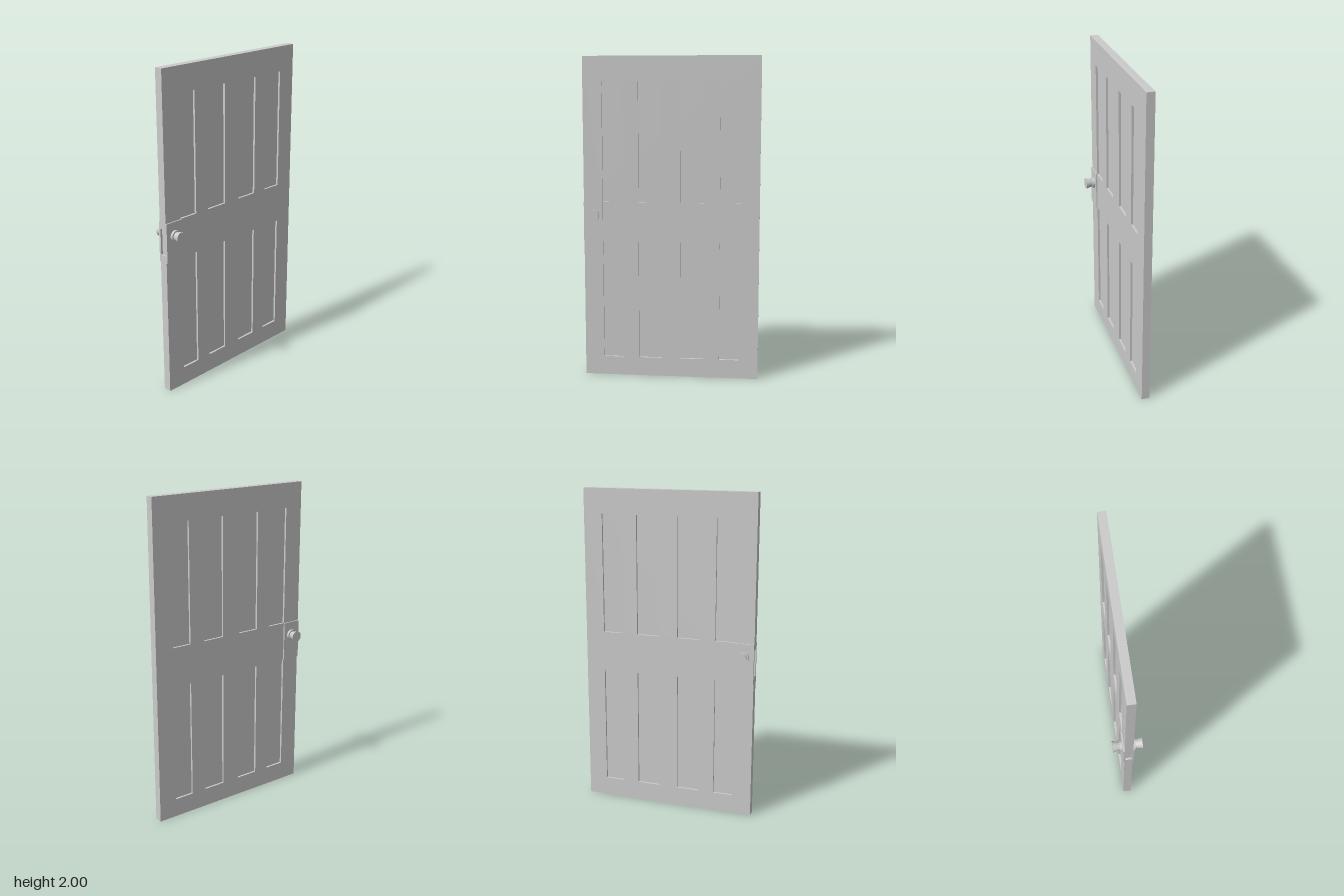
import * as THREE from 'three';

const HALF_T = 0.025, HALF_W = 0.545, HEIGHT = 2;
const RECESS = 0.013;
const LOCK = { back: 0.426, low: 0.86, high: 1.107, halfT: 0.033 };
const material = new THREE.MeshStandardMaterial({ color: 0xcccccc });

function addMesh(parent, name, geometry) {
  const mesh = new THREE.Mesh(geometry, material);
  mesh.name = name;
  parent.add(mesh);
  return mesh;
}

function rectPath(Type, x0, x1, y0, y1) {
  return new Type([[x0, y0], [x1, y0], [x1, y1], [x0, y1]].map(p => new THREE.Vector2(...p)));
}

// Door outline (shape x = -z) with a notch where the lock block sits
function doorOutline() {
  return new THREE.Shape([
    [-HALF_W, 0], [HALF_W, 0], [HALF_W, HEIGHT], [-HALF_W, HEIGHT],
    [-HALF_W, LOCK.high], [-LOCK.back, LOCK.high], [-LOCK.back, LOCK.low], [-HALF_W, LOCK.low],
  ].map(p => new THREE.Vector2(...p)));
}

// Extrudes a door layer across the thickness, from x0 to x1
function layer(shape, x0, x1) {
  return new THREE.ExtrudeGeometry(shape, { depth: x1 - x0, bevelEnabled: false })
    .translate(0, 0, x0).rotateY(Math.PI / 2);
}

export function createModel() {
  const door = new THREE.Group();
  door.name = 'door';

  // Core and two framed faces; the holes leave recessed panels
  const inner = HALF_T - RECESS;
  addMesh(door, 'core', layer(doorOutline(), -inner, inner));
  const frame = doorOutline();
  for (const [a, b] of [[-0.427, -0.302], [-0.203, -0.06], [0.06, 0.203], [0.302, 0.427]])
    for (const [low, high] of [[0.117, 0.86], [1.107, 1.846]])
      frame.holes.push(rectPath(THREE.Path, a, b, low + 0.0005, high - 0.0005));
  addMesh(door, 'leftFrame', layer(frame, inner, HALF_T));
  addMesh(door, 'rightFrame', layer(frame, -HALF_T, -inner));

  // Lock block wrapping the door edge, with a latch slot in its front
  const lock = new THREE.Group();
  lock.name = 'lock';
  door.add(lock);
  const slotDepth = 0.012;
  const bodyLength = HALF_W - slotDepth - LOCK.back;
  const lockHeight = LOCK.high - LOCK.low;
  addMesh(lock, 'lockBody', new THREE.BoxGeometry(LOCK.halfT * 2, lockHeight, bodyLength))
    .position.set(0, (LOCK.low + LOCK.high) / 2, LOCK.back + bodyLength / 2);
  const plate = rectPath(THREE.Shape, -LOCK.halfT, LOCK.halfT, LOCK.low, LOCK.high);
  plate.holes.push(rectPath(THREE.Path, -0.02, 0.02, 0.904, 1.067));
  addMesh(lock, 'latchPlate', new THREE.ExtrudeGeometry(plate, { depth: slotDepth, bevelEnabled: false }))
    .position.z = HALF_W - slotDepth;

  // A flared knob on a short collar, one on each face
  for (const side of [1, -1]) {
    const knob = new THREE.Group();
    knob.name = side > 0 ? 'leftKnob' : 'rightKnob';
    knob.position.set(side * LOCK.halfT, 1.022, 0.482);
    knob.rotation.z = -side * Math.PI / 2;
    const collar = new THREE.CylinderGeometry(0.034, 0.034, 0.016, 32);
    addMesh(knob, 'collar', collar).position.y = 0.008;
    const grip = new THREE.CylinderGeometry(0.0345, 0.025, 0.042, 32);
    addMesh(knob, 'grip', grip).position.y = 0.036;
    door.add(knob);
  }
  return door;
}
